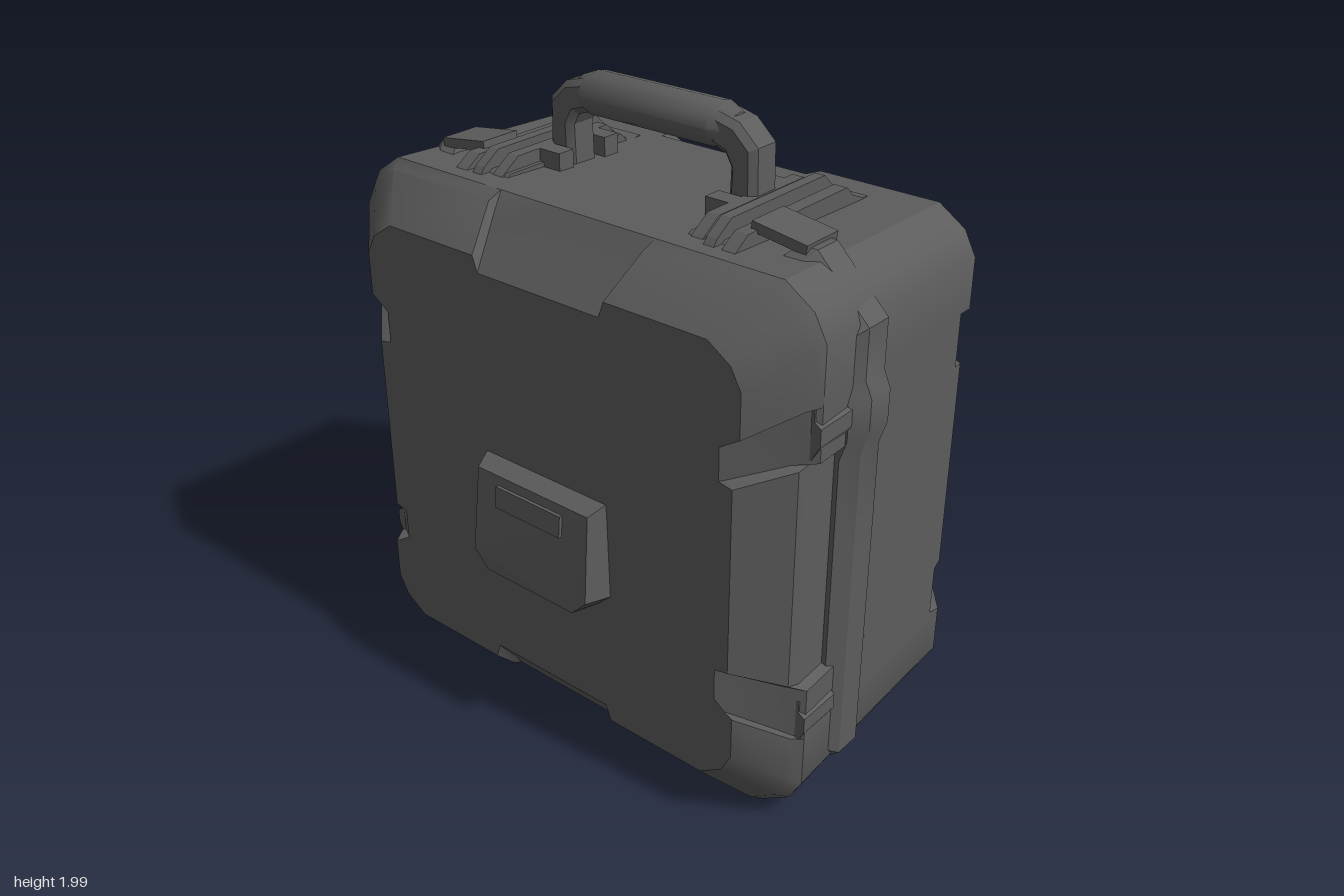
import * as THREE from 'three';
import { toCreasedNormals } from 'three/addons/utils/BufferGeometryUtils.js';

const CY = 0.87; // height of the case centre

// Skin closed (z, y) contours along x. stations: list of x; at(i, p) gives the [z, y] of point p.
function loft(xs, contour, at) {
  const n = contour.length, pos = [], idx = [];
  xs.forEach((x, i) => contour.forEach(p => {
    const [z, y] = at(i, p);
    pos.push(x, y + CY, z);
  }));
  for (let i = 0; i < xs.length - 1; i++) {
    for (let j = 0; j < n; j++) {
      const k = (j + 1) % n, a = i * n + j, b = i * n + k;
      idx.push(a, a + n, b, b, a + n, b + n);
    }
  }
  const c0 = pos.length / 3, last = (xs.length - 1) * n;
  pos.push(xs[0], CY, 0, xs[xs.length - 1], CY, 0);
  for (let j = 0; j < n; j++) {
    const k = (j + 1) % n;
    idx.push(c0, j, k, c0 + 1, last + k, last + j);
  }
  const g = new THREE.BufferGeometry();
  g.setAttribute('position', new THREE.Float32BufferAttribute(pos, 3));
  g.setIndex(idx);
  return toCreasedNormals(g, 0.5);
}

// Extrude a polygon, centred on its depth
function prism(points, depth, bevel = 0) {
  const shape = new THREE.Shape(points.map(p => new THREE.Vector2(...p)));
  const g = new THREE.ExtrudeGeometry(shape, {
    depth: depth - 2 * bevel, bevelEnabled: bevel > 0,
    bevelSize: bevel, bevelOffset: -bevel, bevelThickness: bevel, bevelSegments: 1,
  });
  return g.translate(0, 0, -depth / 2 + bevel);
}

// Mirror a quarter contour (from +z up to the top centre) into a full loop
function fullLoop(quarter) {
  const top = quarter.concat(quarter.slice(0, -1).reverse().map(([z, y]) => [-z, y]));
  return top.concat(top.slice(1, -1).reverse().map(([z, y]) => [z, -y]));
}

export function createModel() {
  const group = new THREE.Group();
  const grey = new THREE.MeshStandardMaterial({ color: 0x5c5c5c });
  grey.name = 'dark grey plastic';
  const add = (name, geometry, parent = group) => {
    const m = new THREE.Mesh(geometry, grey);
    m.name = name;
    parent.add(m);
    return m;
  };

  // Case shell: bevelled block with corner pads, edge notches and a recessed lid front
  const H = 0.83, V = 0.825;
  const shell = fullLoop([
    [H, 0], [H, 0.35], [H, 0.36], [H, 0.52], [H, 0.53], [H, 0.69],
    [0.79, 0.765], [0.7, V], [0.29, V], [0.27, V], [0, V],
  ]);
  // x, inset, weight of the edge cuts, lid recess
  const rows = [
    [-0.525, 0.12, 1, 0], [-0.41, 0, 0.6, 0], [-0.37, -0.025, 0, 0.03], [-0.23, -0.02, 0, 0.03],
    [-0.05, -0.012, 0, 0], [0.36, 0, 0, 0], [0.41, 0, 0.6, 0], [0.525, 0.12, 1, 0],
  ];
  add('caseShell', loft(rows.map(r => r[0]), shell, (i, [z, y]) => {
    const [, inset, cut, recess] = rows[i];
    let nz = z * (H - inset) / H, ny = y * (V - inset) / V;
    const ay = Math.abs(y), az = Math.abs(z);
    if (az === H && ay < 0.525) {
      nz -= Math.sign(z) * (cut * (ay < 0.355 ? 0.02 : 0.065) + (ay < 0.355 ? recess : 0));
    }
    if (ay === V && az < 0.28) ny -= Math.sign(y) * cut * 0.05;
    return [nz, ny];
  }));

  // Sealing rim around the joint, with small swellings on front and back
  const upper = [
    [0.87, 0], [0.87, 0.33], [0.892, 0.4], [0.892, 0.5], [0.87, 0.55], [0.87, 0.7],
    [0.7, 0.87], [0.64, 0.872], [0.62, 0.825], [0.3, 0.835],
  ];
  const lower = [[0.87, -0.7], [0.69, -0.86], [0.3, -0.865]];
  const half = lower.slice().reverse().concat(upper);
  const rim = half.concat(half.slice().reverse().map(([z, y]) => [-z, y]));
  const rimRows = [[-0.25, 0.96], [-0.2, 1], [-0.11, 1], [-0.05, 0.95]];
  add('sealingRim', loft(rimRows.map(r => r[0]), rim,
    (i, [z, y]) => [z * rimRows[i][1], y * rimRows[i][1]]));

  // Latch steps on the lid, front and back
  for (const s of [1, -1]) {
    for (const y of [1.33, 0.39]) {
      const latch = add('latchStep', prism(
        [[0.8, -0.08], [0.835, -0.08], [0.862, -0.03], [0.862, 0.02], [0.84, 0.035], [0.84, 0.07], [0.8, 0.07]],
        0.15).rotateY(-Math.PI / 2));
      latch.position.set(-0.31, y, 0);
      if (s < 0) latch.rotation.y = Math.PI, latch.position.x = -0.31;
    }
  }

  // Handle mounts: cross ribs, base and lock bridge at both ends of the top
  for (const s of [1, -1]) {
    const mount = new THREE.Group();
    mount.name = 'handleMount';
    group.add(mount);
    const rib = (name, l, r, top, z, d) => {
      add(name, prism([[l, 1.67], [r, 1.67], [r, 1.7], [r - 0.06, top - 0.03], [r - 0.09, top],
        [l + 0.09, top], [l + 0.03, top - 0.04], [l, 1.7]], d), mount).position.z = s * z;
    };
    rib('outerRib', -0.35, 0.29, 1.755, 0.5, 0.045);
    rib('middleRib', -0.33, 0.28, 1.778, 0.435, 0.035);
    rib('innerRib', -0.31, 0.26, 1.765, 0.375, 0.04);
    rib('mountBase', -0.36, 0.31, 1.725, 0.43, 0.18);
    for (const x of [-0.1, 0.1]) {
      const foot = add('postFoot', new THREE.BoxGeometry(0.06, 0.09, 0.1), mount);
      foot.position.set(x, 1.72, s * 0.325);
    }
    const bridge = add('lockBridge', new THREE.BoxGeometry(0.14, 0.03, 0.18), mount);
    bridge.position.set(-0.15, 1.75, s * 0.59);
    bridge.rotation.x = s * 0.14;
  }

  // Carrying handle: arched frame and rounded grip
  const arch = [[0.39, 1.68], [0.385, 1.9], [0.32, 1.96], [0.22, 1.985]];
  const inner = [[0.23, 1.88], [0.275, 1.865], [0.295, 1.83], [0.29, 1.68]];
  const flip = list => list.slice().reverse().map(([z, y]) => [-z, y]);
  const frame = [...arch, ...flip(arch), ...flip(inner), ...inner];
  add('handleFrame', toCreasedNormals(prism(frame, 0.12, 0.02).rotateY(-Math.PI / 2), 0.4));
  const grip = new THREE.LatheGeometry(
    [[0, -0.3], [0.045, -0.29], [0.07, -0.23], [0.07, 0.23], [0.045, 0.29], [0, 0.3]]
      .map(p => new THREE.Vector2(...p)), 12);
  grip.rotateX(Math.PI / 2).scale(1.1, 0.96, 1);
  add('handleGrip', toCreasedNormals(grip, 0.7)).position.y = 1.931;

  // Side clasps: tapered pads with a finger lip
  for (const s of [1, -1]) {
    const clasp = new THREE.Group();
    clasp.name = 'sideClasp';
    clasp.rotation.y = s > 0 ? 0 : Math.PI;
    group.add(clasp);
    const pad = prism([[-0.25, 0.95], [-0.26, 0.63], [-0.2, 0.575], [0.19, 0.575], [0.25, 0.63], [0.24, 0.95]], 0.1);
    pad.rotateY(-Math.PI / 2).translate(0.56, 0, 0);
    const p = pad.attributes.position;
    for (let i = 0; i < p.count; i++) {
      if (p.getX(i) < 0.56) continue;
      const y = p.getY(i), high = y > 0.8;
      p.setXYZ(i, high ? 0.582 : 0.61, high ? 0.92 : y + 0.01, p.getZ(i) * 0.9);
    }
    pad.computeVertexNormals();
    add('claspPad', pad, clasp);
    const lip = add('fingerLip', new THREE.BoxGeometry(0.02, 0.07, 0.26), clasp);
    lip.position.set(0.59, 0.855, 0);
    lip.rotation.z = 0.09;
  }
  return group;
}
